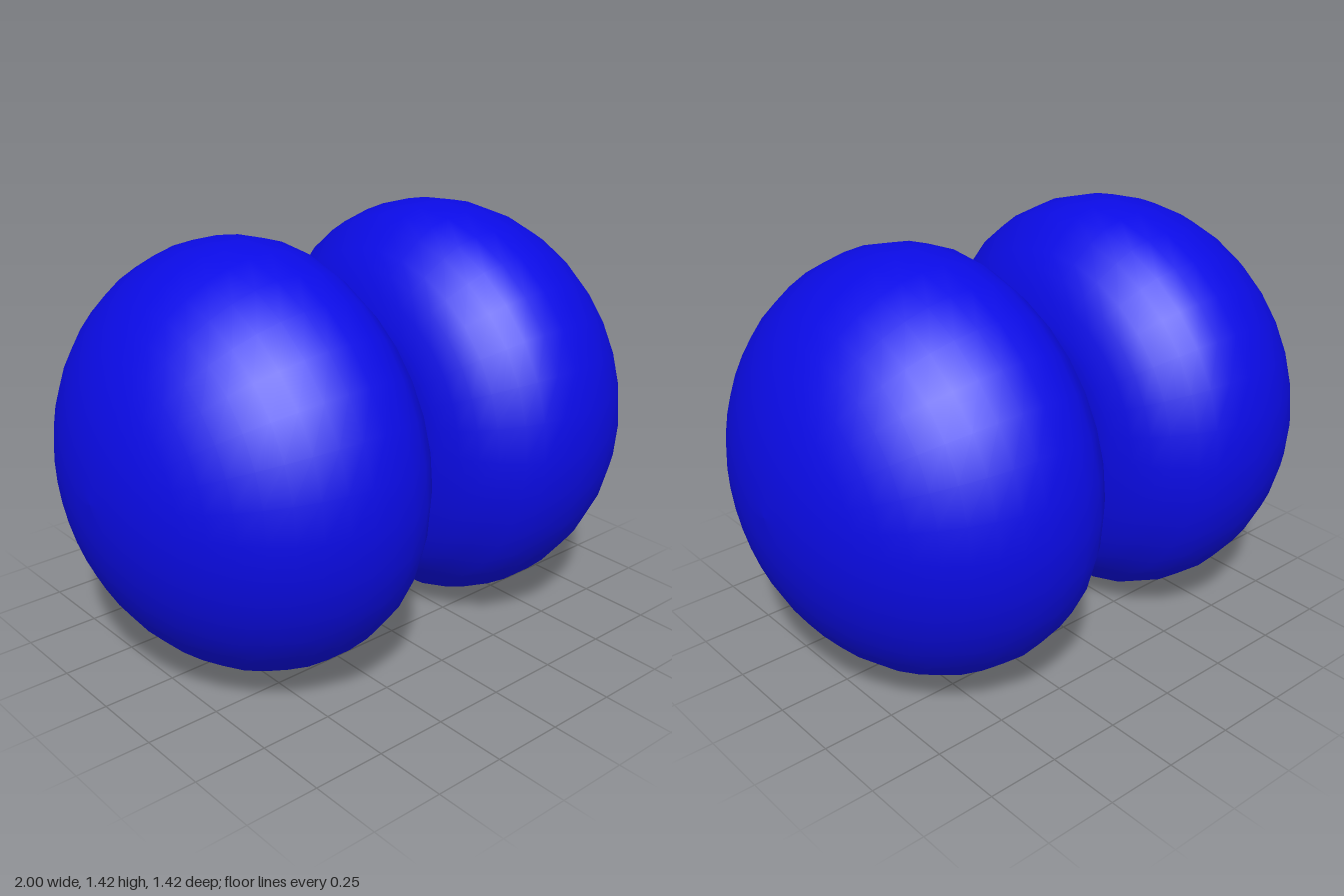
import * as THREE from 'three';

const SEGMENTS = 32;
const RADIUS = 0.71;

export function createModel() {
  const model = new THREE.Group();
  const blue = new THREE.MeshStandardMaterial({ color: 0x0b0be6 });
  blue.name = 'deep blue';

  // Profile as (radius, distance from the middle): rounded inner face first
  const profile = [
    [0, 0.04], [0.34, 0.04], [0.4, 0.052], [0.47, 0.077], [0.53, 0.108],
    [0.58, 0.147], [0.64, 0.21], [0.677, 0.26], [0.7, 0.33],
  ].map(([r, d]) => new THREE.Vector2(r, d));

  // Domed outer face, a quarter ellipse
  const steps = 12;
  for (let i = 0; i <= steps; i++) {
    const a = (i / steps) * Math.PI / 2;
    profile.push(new THREE.Vector2(i === steps ? 0 : RADIUS * Math.cos(a), 0.41 + 0.59 * Math.sin(a)));
  }
  const halfGeometry = new THREE.LatheGeometry(profile, SEGMENTS).rotateZ(-Math.PI / 2);

  // Two matching halves
  for (const [name, turn] of [['leftHalf', 0], ['rightHalf', Math.PI]]) {
    const half = new THREE.Mesh(halfGeometry, blue);
    half.name = name;
    half.rotation.y = turn;
    half.position.y = RADIUS;
    model.add(half);
  }

  // Axle joining the halves
  const axle = new THREE.Mesh(
    new THREE.CylinderGeometry(0.34, 0.34, 0.12, SEGMENTS, 1).rotateZ(Math.PI / 2), blue);
  axle.name = 'axle';
  axle.position.y = RADIUS;
  model.add(axle);

  return model;
}
